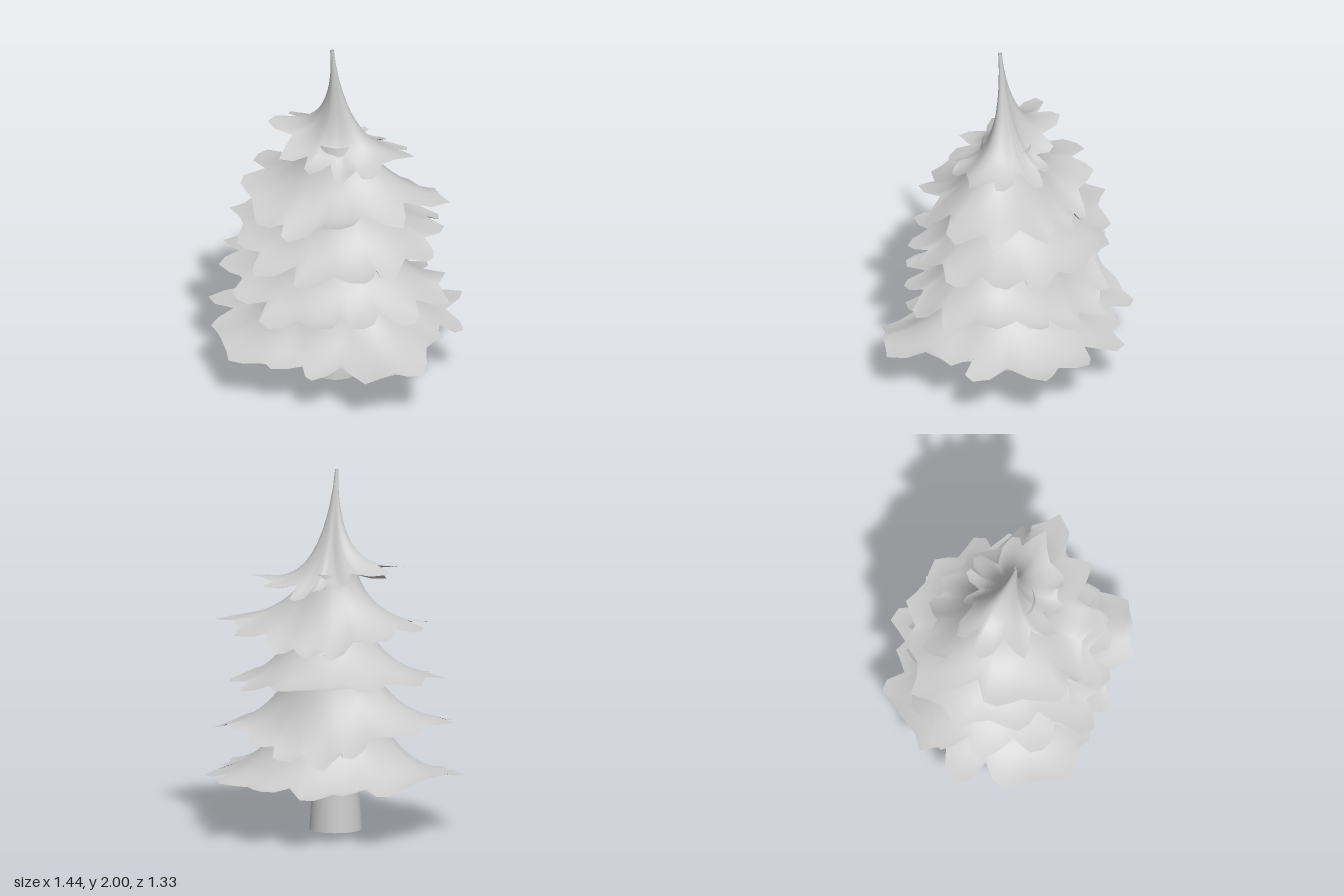
import * as THREE from 'three';

const material = new THREE.MeshStandardMaterial({ color: 0xcccccc, side: THREE.DoubleSide });

// Repeatable random numbers
function seeded(seed) {
  let s = seed;
  return () => {
    s = (s * 16807) % 2147483647;
    return s / 2147483647;
  };
}

// Smooth value at an angle from a list spread evenly round the circle (0 = +x, a quarter turn = +z)
function around(list, angle) {
  const p = (angle / (Math.PI * 2)) * list.length;
  const i = Math.floor(p);
  const blend = THREE.MathUtils.smoothstep(p - i, 0, 1);
  return THREE.MathUtils.lerp(list[i % list.length], list[(i + 1) % list.length], blend);
}

// Hem of each tier from the ground up: radius and height at even steps round the circle
const hems = [
  {
    radius: [0.6, 0.77, 0.59, 0.61, 0.73, 0.7, 0.71, 0.68, 0.6, 0.67, 0.66, 0.66],
    height: [0.34, 0.25, 0.34, 0.29],
  },
  { radius: [0.6, 0.57, 0.66, 0.7, 0.52, 0.5], height: [0.59, 0.52, 0.64, 0.48] },
  { radius: [0.55, 0.54, 0.6, 0.63, 0.54, 0.54], height: [0.85, 0.78, 0.89, 0.87] },
  { radius: [0.57, 0.48, 0.58, 0.54, 0.4, 0.41], height: [1.17, 1.07, 1.17, 1.05] },
  { radius: [0.39, 0.29, 0.36, 0.41, 0.22, 0.27], height: [1.38, 1.35, 1.48, 1.36] },
];

// A flared open skirt whose hem is cut into ragged, slightly curling leaves
function skirt(hem, top, leaves, seed) {
  const random = seeded(seed);
  const spread = (size) => (random() - 0.5) * size;
  const columns = [];
  for (let k = 0; k < leaves; k++) {
    const lift = spread(0.07) - 0.01;
    const skew = spread(0.2);
    const length = spread(0.1);
    const shift = spread(0.3);
    const notch = 0.74 + random() * 0.18;
    [notch, 0.95, 1.04, 0.97].forEach((reach, j) => {
      columns.push({
        angle: ((k + 0.5 + (j + shift) / 4) / leaves) * Math.PI * 2,
        reach: reach + length + spread(0.08),
        lift: j === 0 ? 0 : lift,
        skew,
      });
    });
  }

  const rows = 14;
  const count = columns.length;
  const positions = [];
  const index = [];
  for (let i = 0; i <= rows; i++) {
    columns.forEach((column, j) => {
      const t = (i / rows) * column.reach;
      const angle = column.angle + column.skew * t ** 4;
      const radius = THREE.MathUtils.lerp(top.r, around(hem.radius, column.angle), t ** top.flare);
      const height = around(hem.height, column.angle);
      const rise = (top.y - height) * Math.max(0, 1 - t) ** top.sag;
      const lean = Math.max(0, 1 - t) ** 2;
      positions.push(
        top.x * lean + radius * Math.cos(angle),
        height + rise + column.lift * t ** 4,
        top.z * lean + radius * Math.sin(angle),
      );
      if (i < rows) {
        const a = i * count + j;
        const b = i * count + ((j + 1) % count);
        index.push(a, b, a + count, b, b + count, a + count);
      }
    });
  }
  const geometry = new THREE.BufferGeometry();
  geometry.setAttribute('position', new THREE.Float32BufferAttribute(positions, 3));
  geometry.setIndex(index);
  geometry.computeVertexNormals();
  return geometry;
}

export function createModel() {
  const tree = new THREE.Group();
  tree.name = 'pineTree';

  // Tapered hollow trunk running up inside the tiers
  const trunk = new THREE.Mesh(new THREE.CylinderGeometry(0.08, 0.145, 1, 24, 1, true), material);
  trunk.name = 'trunk';
  trunk.position.set(-0.035, 0.5, 0.035);
  tree.add(trunk);

  // Foliage tiers, the last one drawn up into the leaning tip
  hems.forEach((hem, i) => {
    const top = i === hems.length - 1
      ? { x: -0.025, y: 2, z: 0.085, r: 0.01, flare: 1.6, sag: 2.5 }
      : { x: -0.02, y: 0.66 + i * 0.26, z: 0.035, r: 0.27 - i * 0.045, flare: 1.3, sag: 2 };
    const tier = new THREE.Mesh(skirt(hem, top, 15 - i, 4711 + i * 977), material);
    tier.name = `foliageTier${i + 1}`;
    tree.add(tier);
  });

  return tree;
}
